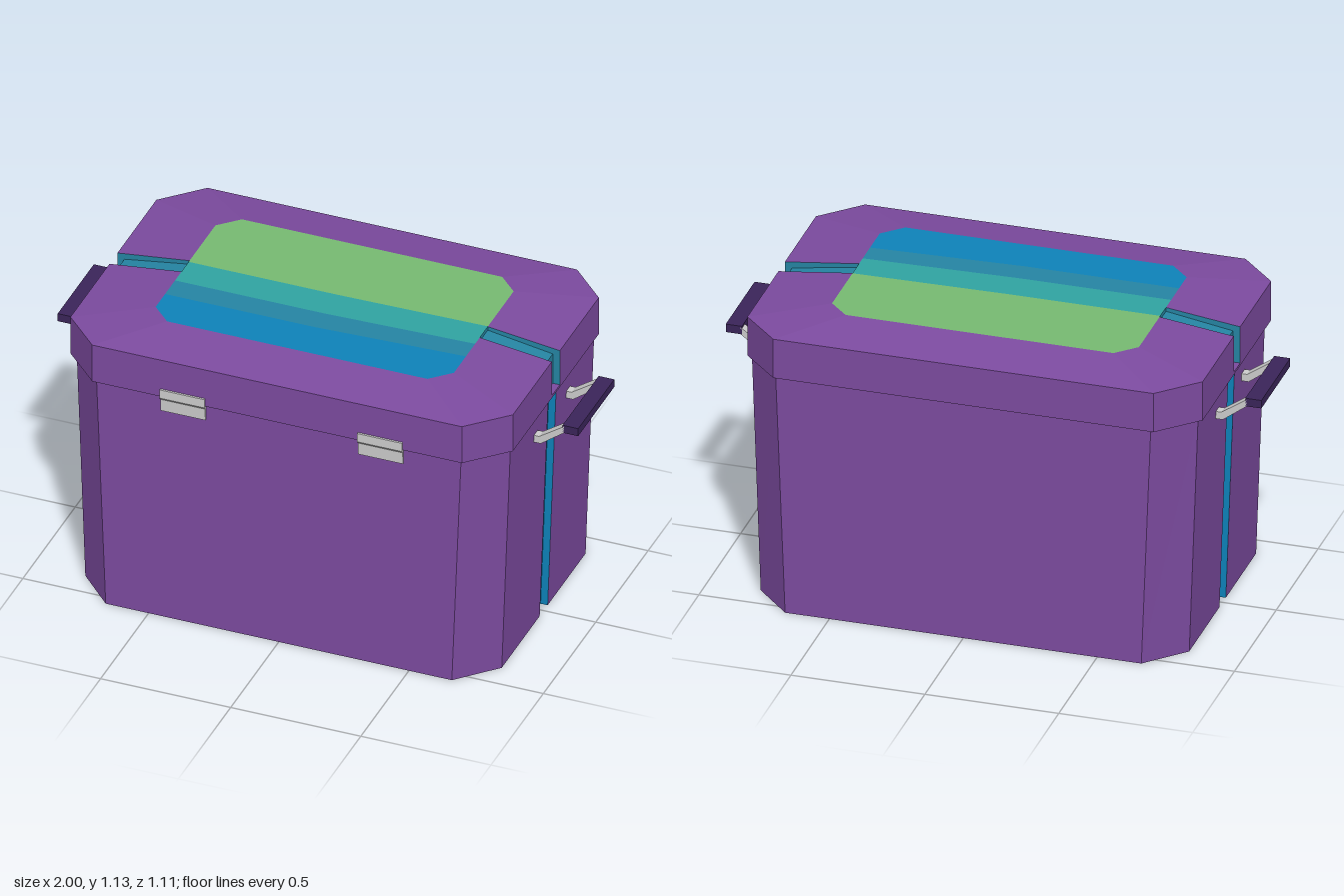
import * as THREE from 'three';

const mat = (name, color) => {
  const m = new THREE.MeshStandardMaterial({ color });
  m.name = name;
  return m;
};

export function createModel() {
  const purple = mat('purple', 0x7b4a9e), blue = mat('blue', 0x0d82b8), mid = mat('deepTeal', 0x2584a2);
  const teal = mat('teal', 0x30a3a0), green = mat('green', 0x76b971);
  const dark = mat('darkPurple', 0x3a2459), grey = mat('lightGrey', 0xcccccc);
  const mats = [purple, teal, mid, blue];
  const group = new THREE.Group();
  const add = (name, geometry, material, parent = group) => {
    const mesh = new THREE.Mesh(geometry, material);
    mesh.name = name;
    parent.add(mesh);
    return mesh;
  };

  // Chamfered outline with a groove of depth d in both ends; yf is the groove floor height
  const W = 0.038;
  const ring = ({ X, Z, cx, cz, d, y, yf = y }) => {
    const half = [
      [cx, y, Z], [X, y, cz], [X, y, W],
      [X - d, yf, W], [X - d, yf, 0.008], [X - d, yf, -0.01], [X - d, yf, -W],
      [X, y, -W], [X, y, -cz], [cx, y, -Z]];
    return [...half, ...half.map(([x, h, z]) => [-x, h, -z])].map(p => new THREE.Vector3(...p));
  };

  // Flat-faced loft; each layer has a list giving the colour of its groove segments
  const loft = (sections, grooves) => {
    const rings = sections.map(ring);
    const faces = mats.map(() => []);
    grooves.forEach((groove, k) => {
      const lo = rings[k], hi = rings[k + 1], n = lo.length;
      for (let i = 0; i < n; i++) {
        const j = (i + 1) % n, s = i % 10;
        const m = s >= 2 && s <= 6 ? groove[s - 2] : 0;
        for (const t of [[lo[i], lo[j], hi[j]], [lo[i], hi[j], hi[i]]]) {
          if (new THREE.Triangle(...t).getArea() > 1e-7) faces[m].push(...t);
        }
      }
    });
    const g = new THREE.BufferGeometry().setFromPoints(faces.flat());
    let start = 0;
    faces.forEach((f, m) => {
      g.addGroup(start, f.length, m);
      start += f.length;
    });
    g.computeVertexNormals();
    return g;
  };

  // Flat downward-facing cap
  const underside = section => new THREE.ShapeGeometry(
    new THREE.Shape(ring(section).map(p => new THREE.Vector2(p.x, p.z)))).rotateX(Math.PI / 2).translate(0, section.y, 0);

  const plain = [0, 0, 0, 0, 0], banded = [1, 1, 2, 3, 3], deep = [2, 2, 2, 2, 2];

  // Tapered body with banded end grooves
  const foot = { X: 0.8, Z: 0.541, cx: 0.665, cz: 0.4, d: 0.027, y: 0 };
  add('body', loft([foot, { ...foot, X: 0.833, cx: 0.7, y: 0.94 }], [banded]), mats);
  add('bodyBottom', underside(foot), purple);

  // Lid with a small ledge under each groove and a sloping top
  const lid = new THREE.Group();
  lid.name = 'lid';
  lid.position.set(-0.004, 0, -0.002);
  group.add(lid);
  const rim = { X: 0.85, Z: 0.55, cx: 0.71, cz: 0.41, d: 0, y: 0.94 };
  const top = { X: 0.573, Z: 0.357, cx: 0.5, cz: 0.285, d: 0, y: 1.13 };
  add('lidShell', loft([
    rim,
    { ...rim, y: 0.95 },
    { ...rim, y: 0.95, d: 0.027 },
    { ...rim, y: 1.095, d: 0.027, yf: 1.075 },
    { ...top, yf: 1.115 },
    top], [plain, plain, deep, deep, deep]), mats, lid);
  add('lidUnderside', underside(rim), purple, lid);

  // Coloured bands of the lid top, as polygons in x and z
  const { X, Z, cx, cz } = top;
  const line = (l, r) => [[-X, l], [0, l], [X, r]];
  const edges = [
    [[-X, -cz], [-cx, -Z], [cx, -Z], [X, -cz]],
    line(-0.03, -0.04), line(0.1, 0.082), line(0.195, 0.17),
    [[-X, cz], [-cx, Z], [cx, Z], [X, cz]]];
  [green, teal, mid, blue].forEach((m, i) => {
    const pts = [...edges[i], ...[...edges[i + 1]].reverse()].map(([x, z]) => new THREE.Vector2(x, -z));
    add('lidTopBand' + (i + 1),
      new THREE.ShapeGeometry(new THREE.Shape(pts)).rotateX(-Math.PI / 2).translate(0, 1.13, 0), m, lid);
  });

  const extrude = (pts, depth) => new THREE.ExtrudeGeometry(
    new THREE.Shape(pts.map(p => new THREE.Vector2(...p))), { depth, bevelEnabled: false });

  // Front latches: side profile in z and y, swept across x
  const latch = extrude([[0.53, 0.88], [0.547, 0.88], [0.548, 0.928], [0.556, 0.938],
    [0.556, 0.973], [0.53, 0.973]], 0.172).rotateY(-Math.PI / 2);
  for (const x of [-0.28, 0.479]) add('latch', latch, grey).position.x = x;

  // Carrying handles: a grip on two cranked brackets at each end
  const bracket = extrude([[0.815, 0.828], [0.856, 0.828], [0.945, 0.895],
    [0.945, 0.922], [0.85, 0.857], [0.815, 0.857]], 0.036);
  for (const side of [1, -1]) {
    const handle = new THREE.Group();
    handle.name = side > 0 ? 'leftHandle' : 'rightHandle';
    add('grip', new THREE.BoxGeometry(0.06, 0.032, 0.345), dark, handle).position.set(0.97, 0.911, 0);
    for (const z of [-0.1725, 0.1365]) add('bracket', bracket, grey, handle).position.z = z;
    handle.rotation.y = side > 0 ? 0 : Math.PI;
    handle.position.z = -0.005;
    group.add(handle);
  }
  return group;
}
